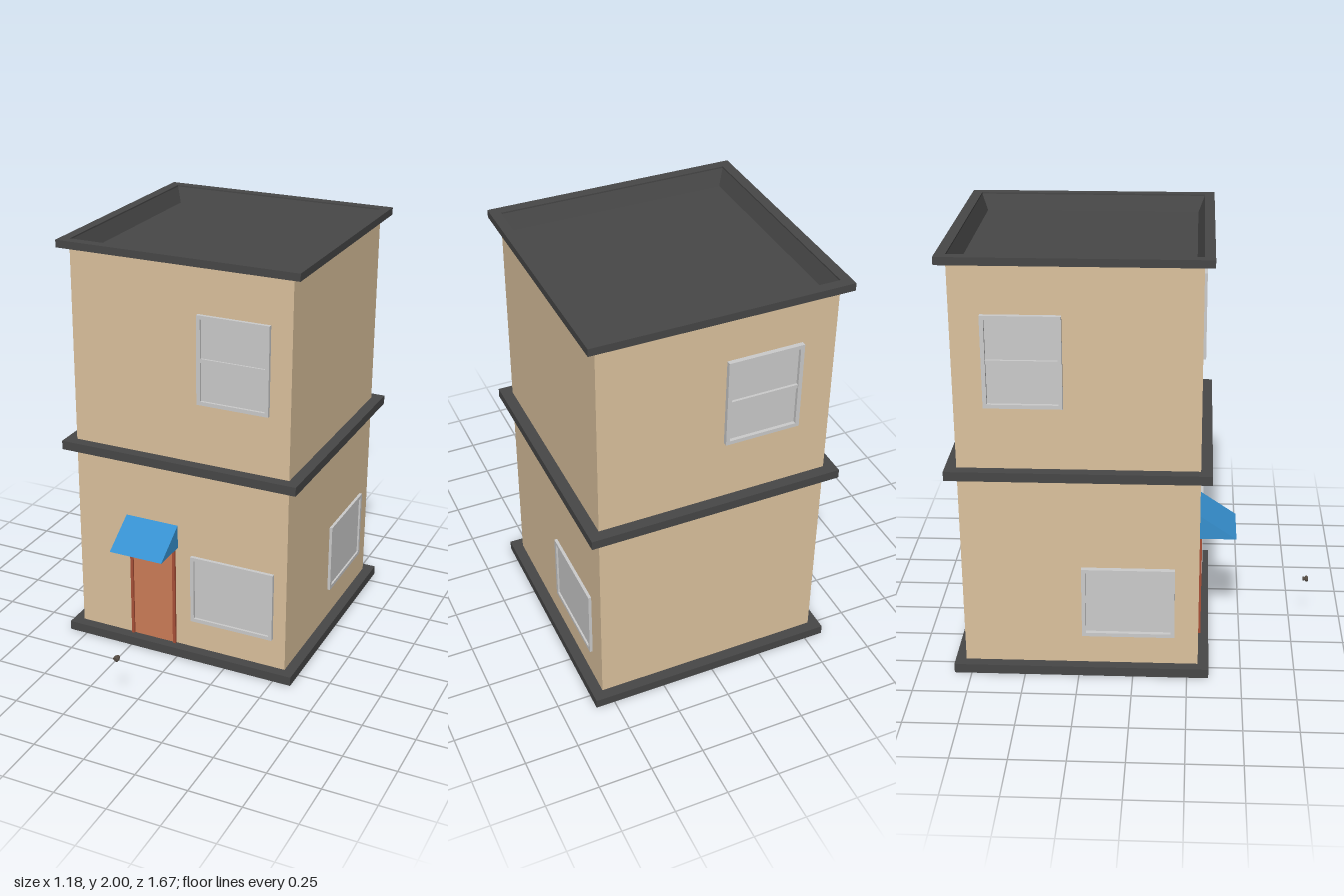
import * as THREE from 'three';

const mat = (color) => new THREE.MeshStandardMaterial({ color, flatShading: true });
const WALL = mat(0xdcc29d), TRIM = mat(0x474747), GLASS = mat(0xcccccc);
const DOOR = mat(0xcc7d57), JAMB = mat(0xa85038), AWNING = mat(0x3690cf), METAL = mat(0x554c44);
const HALF = 0.54;   // half width of the house
const CZ = -0.24;    // centre of the house in z

function add(parent, name, geometry, material, x = 0, y = 0, z = 0) {
  const mesh = new THREE.Mesh(geometry, material);
  mesh.name = name;
  mesh.position.set(x, y, z);
  parent.add(mesh);
  return mesh;
}

const rect = (Type, x0, y0, x1, y1) => new Type([
  new THREE.Vector2(x0, y0), new THREE.Vector2(x1, y0),
  new THREE.Vector2(x1, y1), new THREE.Vector2(x0, y1)]);

// Flat plate with rectangular holes, extruded towards +z
function plate(outer, holes, depth) {
  const shape = rect(THREE.Shape, ...outer);
  holes.forEach((h) => shape.holes.push(rect(THREE.Path, ...h)));
  return new THREE.ExtrudeGeometry(shape, { depth, bevelEnabled: false });
}

// Square band around the house
function band(parent, name, half, y0, y1) {
  const i = HALF - 0.002;
  const g = plate([-half, -half, half, half], [[-i, -i, i, i]], y1 - y0).rotateX(-Math.PI / 2);
  add(parent, name, g, TRIM, 0, y0, CZ);
}

// Window facing +z, back resting on z = 0; sashes = number of stacked panes
function makeWindow(name, w, h, depth, sashes) {
  const g = new THREE.Group();
  g.name = name;
  const a = w / 2, b = h / 2, e = 0.018;
  add(g, 'windowFrame', plate([-a, -b, a, b], [[-a + e, -b + e, a - e, b - e]], depth), GLASS);
  add(g, 'windowPane', new THREE.BoxGeometry(w - e, h - e, 0.01), GLASS, 0, 0, 0);
  if (sashes > 1) {
    add(g, 'windowRail', new THREE.BoxGeometry(w - 2 * e, 0.018, depth * 0.8), GLASS, 0, 0, depth * 0.4);
  }
  return g;
}

export function createModel() {
  const house = new THREE.Group();
  house.name = 'house';

  // Walls and horizontal bands
  add(house, 'walls', new THREE.BoxGeometry(2 * HALF, 1.89, 2 * HALF), WALL, 0, 0.955, CZ);
  add(house, 'upperWalls', plate([-HALF, -HALF, HALF, HALF], [[-0.537, -0.537, 0.537, 0.537]], 0.075)
    .rotateX(-Math.PI / 2), WALL, 0, 1.9, CZ);
  band(house, 'baseBand', 0.59, 0, 0.045);
  band(house, 'middleBand', 0.592, 0.985, 1.028);
  band(house, 'roofRim', 0.585, 1.965, 2);

  // Sunken roof with sloped inner sides
  const slope = new THREE.CylinderGeometry(HALF * Math.SQRT2, 0.508 * Math.SQRT2, 0.08, 4, 1, true);
  slope.rotateY(Math.PI / 4);
  const slopeMat = TRIM.clone();
  slopeMat.side = THREE.DoubleSide;
  add(house, 'roofSlope', slope, slopeMat, 0, 1.958, CZ);
  add(house, 'roofFloor', new THREE.BoxGeometry(1.02, 0.02, 1.02), TRIM, 0, 1.91, CZ);

  // Windows: name, width, height, depth, sashes, position, turn about y
  const F = CZ + HALF, B = CZ - HALF;
  [
    ['frontLowerWindow', 0.42, 0.345, 0.017, 1, [0.267, 0.368, F], 0],
    ['frontUpperWindow', 0.347, 0.42, 0.017, 2, [0.266, 1.53, F], 0],
    ['leftLowerWindow', 0.425, 0.345, 0.014, 1, [HALF, 0.368, -0.456], Math.PI / 2],
    ['rightLowerWindow', 0.425, 0.345, 0.025, 1, [-HALF, 0.368, -0.022], -Math.PI / 2],
    ['rightUpperWindow', 0.347, 0.42, 0.022, 2, [-HALF, 1.53, -0.474], -Math.PI / 2],
    ['backUpperWindow', 0.347, 0.42, 0.021, 2, [-0.21, 1.53, B], Math.PI],
  ].forEach(([name, w, h, d, sashes, pos, turn]) => {
    const win = makeWindow(name, w, h, d, sashes);
    win.position.set(...pos);
    win.rotation.y = turn;
    house.add(win);
  });

  // Door with its frame, open at the bottom
  add(house, 'doorFrame', plate([-0.265, 0.04, -0.027, 0.565], [[-0.251, 0.042, -0.041, 0.55]], 0.012),
    JAMB, 0, 0, F);
  add(house, 'door', new THREE.BoxGeometry(0.212, 0.51, 0.01), DOOR, -0.146, 0.297, F - 0.002);

  // Wedge-shaped awning
  const wedge = new THREE.Shape([
    new THREE.Vector2(0, 0), new THREE.Vector2(0.172, 0), new THREE.Vector2(0, 0.117)]);
  const awning = new THREE.ExtrudeGeometry(wedge, { depth: 0.27, bevelEnabled: false });
  awning.rotateY(-Math.PI / 2);
  add(house, 'awning', awning, AWNING, -0.015, 0.566, F);

  // Door knob, standing free in front of the door
  const profile = [[0, 0], [0.01, 0], [0.008, 0.008], [0.014, 0.014], [0.014, 0.022], [0.009, 0.026], [0, 0.026]]
    .map(([r, y]) => new THREE.Vector2(r, y));
  const knob = new THREE.LatheGeometry(profile, 12).rotateX(Math.PI / 2);
  add(house, 'doorKnob', knob, METAL, -0.065, 0.245, 0.808);

  return house;
}
